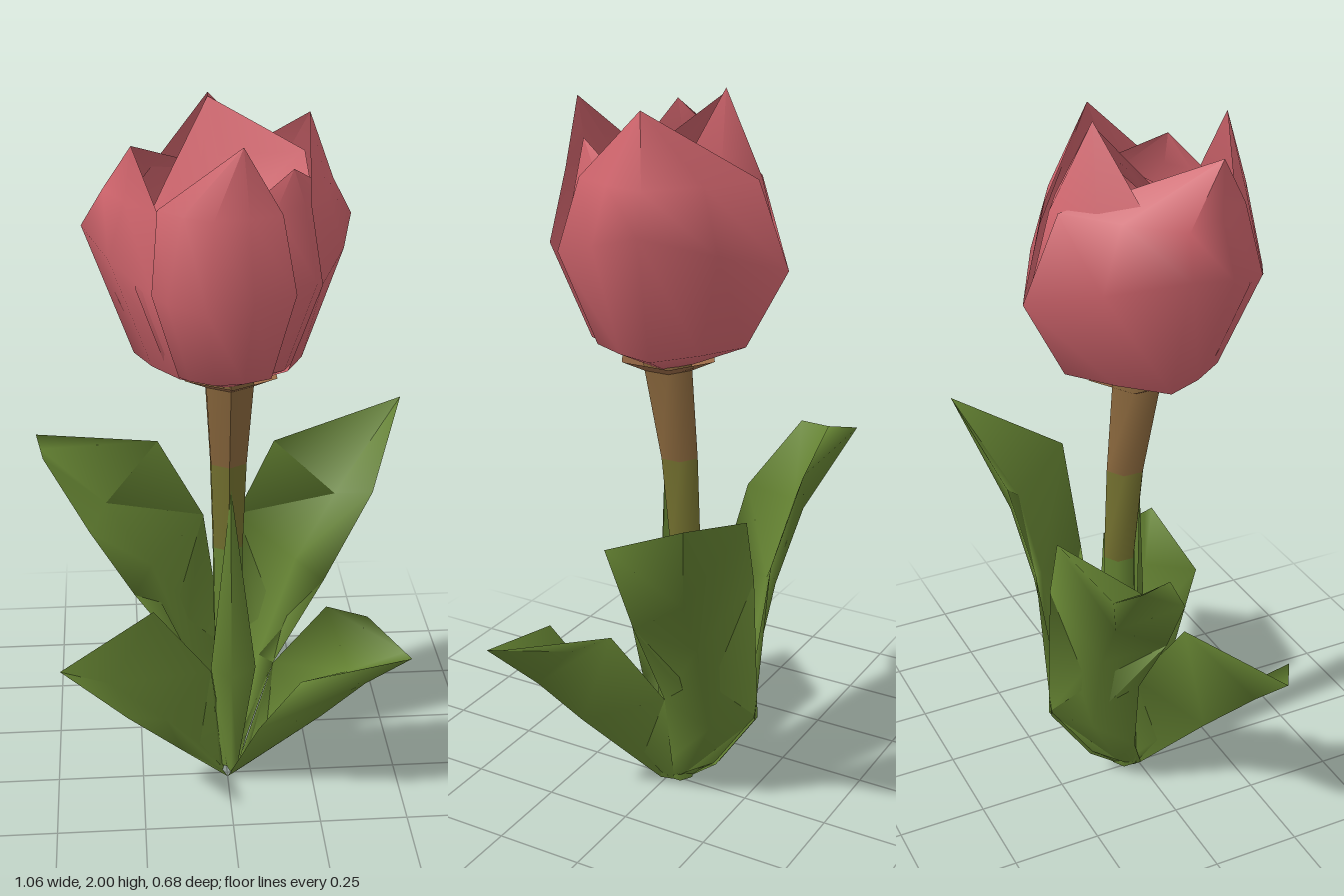
import * as THREE from 'three';

const mat = (name, color) => {
  const m = new THREE.MeshStandardMaterial({ color, side: THREE.DoubleSide });
  m.name = name;
  return m;
};

// Smooth sheet through rows of points; closed joins the last column to the first
function sheet(name, rows, material, closed = false) {
  const w = rows[0].length, cols = closed ? w : w - 1, index = [];
  for (let r = 0; r < rows.length - 1; r++) {
    for (let c = 0; c < cols; c++) {
      const a = r * w + c, b = r * w + (c + 1) % w;
      index.push(a, b, a + w, b, b + w, a + w);
    }
  }
  const geo = new THREE.BufferGeometry();
  geo.setAttribute('position', new THREE.Float32BufferAttribute(rows.flat(2), 3));
  geo.setIndex(index);
  geo.computeVertexNormals();
  const mesh = new THREE.Mesh(geo, material);
  mesh.name = name;
  return mesh;
}

const mix = (a, b, t) => a.map((v, i) => v + (b[i] - v) * t);

// Fleshy leaf: rows of [edge, keel, edge], with an inner face a little above the keel
function leaf(name, rows, material) {
  const loops = rows.map(([e1, keel, e2]) => [e1, keel, e2, mix(mix(e1, e2, 0.5), keel, 0.68)]);
  return sheet(name, loops, material, true);
}

// Petal: three [x, z, y] points at its widest level, scaled level by level, then drawn to the tip
function petal(name, left, mid, right, tip, material, size = 1) {
  const halfway = (a, b) => [(a[0] + b[0]) * 0.53, (a[1] + b[1]) * 0.53, (a[2] + b[2]) * 0.5];
  const plan = [left, halfway(left, mid), mid, halfway(mid, right), right];
  const level = (s, y) => plan.map((p) => [p[0] * s * size, y ?? p[2], p[1] * s * size]);
  // the shoulder narrows towards the tip
  const shoulder = level(0.87, 1.79).map(([x, y, z]) => [x * 0.88 + tip[0] * 0.12, y, z * 0.88 + tip[2] * 0.12]);
  return sheet(name, [level(0.15, 1.27), level(0.66, 1.345), level(1), shoulder, plan.map(() => tip)], material);
}

// Round stem piece between two [y, z, radius] stations
function stemPiece(name, lo, hi, material) {
  const geo = new THREE.CylinderGeometry(hi[2], lo[2], hi[0] - lo[0], 6, 1, true);
  const p = geo.attributes.position;
  for (let i = 0; i < p.count; i++) {
    const [y, z] = p.getY(i) > 0 ? hi : lo;
    p.setXYZ(i, p.getX(i) + 0.005, y, p.getZ(i) + z);
  }
  geo.computeVertexNormals();
  const mesh = new THREE.Mesh(geo, material);
  mesh.name = name;
  return mesh;
}

export function createModel() {
  const model = new THREE.Group();
  model.name = 'tulip';
  const pink = mat('petal pink', 0xcf646c);
  const green = mat('leaf green', 0x648232);
  const olive = mat('stem olive', 0x73702f);
  const brown = mat('stem brown', 0x88663c);
  const warmBrown = mat('flower base brown', 0x9c6c48);

  // Stem, green at the foot and brown under the flower
  const stations = [
    [0.02, -0.04, 0.04], [0.75, -0.055, 0.047], [1.02, -0.035, 0.056], [1.29, 0.003, 0.074],
  ];
  [green, olive, brown].forEach((m, i) =>
    model.add(stemPiece('stem' + (i + 1), stations[i], stations[i + 1], m)));
  model.add(stemPiece('flowerBase', [1.262, 0, 0.065], [1.3, 0, 0.14], warmBrown));

  // Flower: two broad outer petals, smaller ones between and inside them
  const flower = new THREE.Group();
  flower.name = 'flower';
  flower.add(
    petal('rightPetal', [0.22, 0.2, 1.6], [0.33, -0.1, 1.69], [-0.03, -0.33, 1.56], [0.21, 1.97, -0.04], pink),
    petal('leftPetal', [-0.03, -0.33, 1.56], [-0.37, -0.04, 1.69], [-0.2, 0.25, 1.6], [-0.24, 1.93, 0.11], pink),
    petal('backPetal', [0.25, -0.13, 1.6], [-0.03, -0.33, 1.6], [-0.3, -0.08, 1.6], [-0.04, 2.0, -0.14], pink, 0.93),
    petal('frontPetal', [-0.24, 0.19, 1.6], [-0.07, 0.325, 1.57], [0.15, 0.27, 1.6], [0.02, 1.96, 0.26], pink),
    petal('frontRightPetal', [0, 0.28, 1.6], [0.22, 0.2, 1.6], [0.31, -0.06, 1.6], [0.15, 1.88, 0.16], pink, 0.95),
  );

  // Shallow inside of the flower, sloping forward from the back tip
  const rim = [
    [-0.04, 1.99, -0.14], [0.2, 1.87, -0.05], [0.21, 1.76, 0.1], [0.08, 1.7, 0.22],
    [-0.1, 1.7, 0.22], [-0.21, 1.74, 0.13], [-0.15, 1.82, 0], [-0.04, 1.99, -0.14],
  ];
  const heart = [0, 1.74, 0.06];
  flower.add(sheet('innerPetals', [rim, rim.map((p) => mix(p, heart, 0.5)), rim.map(() => heart)], pink));
  model.add(flower);

  // Leaves, from foot to tip
  const foot = [0, 0, 0.02];
  const rightTip = [0.53, 1.06, -0.34];
  model.add(leaf('backRightLeaf', [
    [[0, 0.01, -0.06], [0.01, 0, -0.02], [0.03, 0.01, 0]],
    [[-0.01, 0.09, -0.16], [0.06, 0.07, -0.09], [0.06, 0.1, -0.04]],
    [[-0.01, 0.27, -0.28], [0.13, 0.28, -0.2], [0.14, 0.34, -0.065]],
    [[0.05, 0.72, -0.29], [0.24, 0.58, -0.22], [0.28, 0.62, -0.05]],
    [[0.16, 0.94, -0.32], [0.35, 0.76, -0.24], [0.41, 0.9, -0.045]],
    [rightTip, rightTip, rightTip],
  ], green));

  model.add(leaf('backLeftLeaf', [
    [[0, 0.01, -0.06], [-0.01, 0, -0.02], [-0.02, 0.01, 0]],
    [[0.01, 0.09, -0.16], [-0.05, 0.07, -0.09], [-0.04, 0.1, -0.03]],
    [[0.01, 0.27, -0.28], [-0.12, 0.28, -0.2], [-0.09, 0.35, -0.04]],
    [[-0.05, 0.72, -0.29], [-0.23, 0.58, -0.22], [-0.26, 0.6, -0.04]],
    [[-0.18, 0.95, -0.32], [-0.36, 0.77, -0.24], [-0.38, 0.8, -0.05]],
    [[-0.53, 0.98, -0.325], [-0.515, 0.97, -0.24], [-0.505, 0.98, -0.16]],
  ], green));

  const frontRightTip = [0.48, 0.56, 0.285];
  model.add(leaf('frontRightLeaf', [
    [[0.04, 0.02, -0.04], [0.05, 0.02, 0], foot],
    [[0.14, 0.34, -0.065], [0.26, 0.28, 0.13], [0.08, 0.25, 0.14]],
    [[0.28, 0.575, 0.02], [0.37, 0.43, 0.2], [0.18, 0.5, 0.285]],
    [[0.39, 0.57, 0.075], frontRightTip, frontRightTip],
  ], green));

  const leftTip = [-0.47, 0.52, 0.22];
  model.add(leaf('frontLeftLeaf', [
    [[0, 0.02, -0.03], [-0.02, 0.01, 0], foot],
    [[-0.045, 0.34, -0.03], [-0.225, 0.255, 0.1], [-0.14, 0.21, 0.17]],
    [[-0.21, 0.59, 0.04], [-0.37, 0.42, 0.18], [-0.29, 0.44, 0.335]],
    [leftTip, leftTip, leftTip],
  ], green));

  // Narrow blade wrapping the front of the stem
  const bladeTip = [0.01, 0.95, 0.01];
  model.add(sheet('centreBlade', [
    [[0, 0.02, 0], [0.01, 0.02, 0.03], [0.03, 0.02, 0]],
    [[-0.045, 0.35, -0.03], [0.01, 0.35, 0.03], [0.085, 0.35, -0.03]],
    [bladeTip, bladeTip, bladeTip],
  ], green));

  return model;
}
